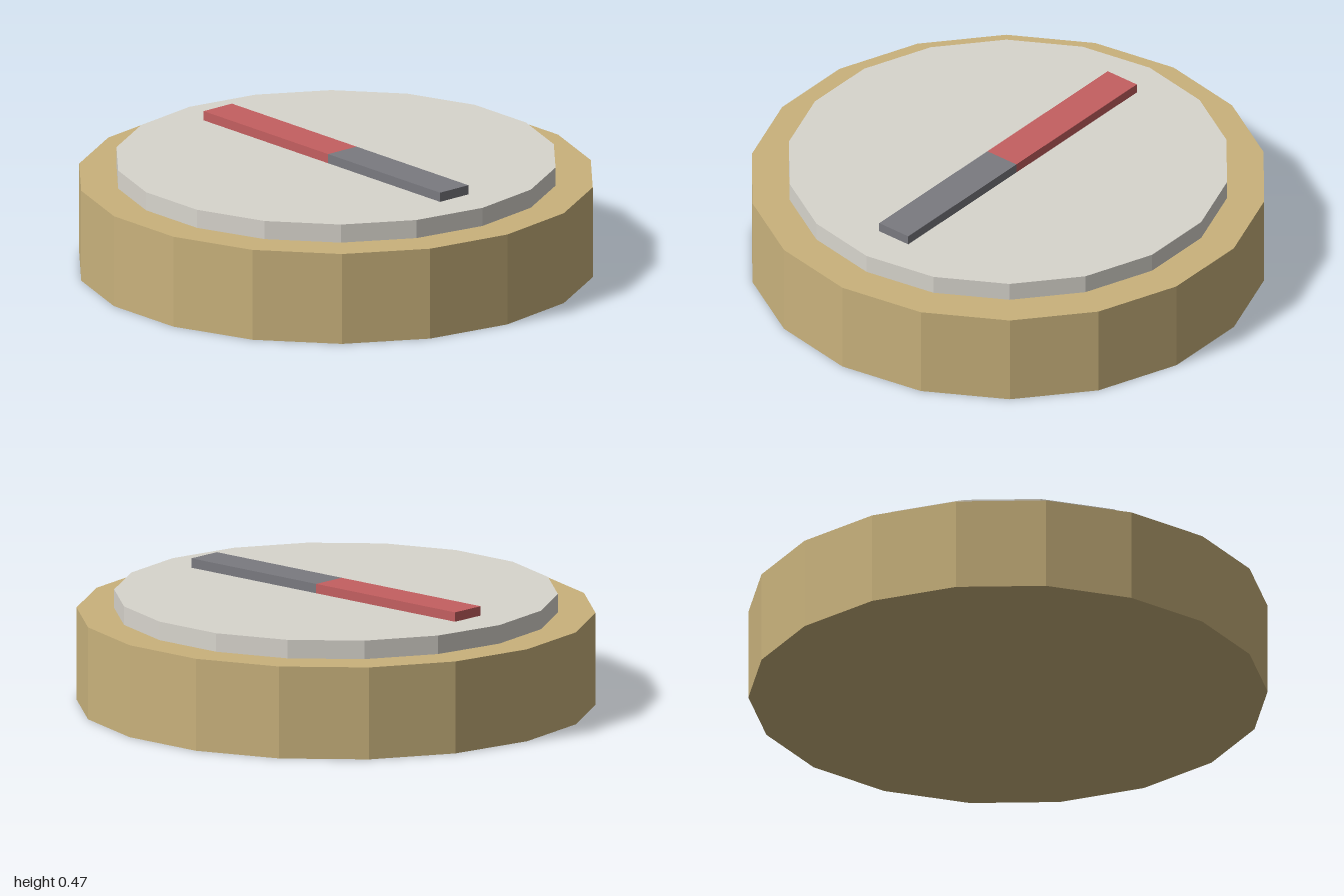
import * as THREE from 'three';

const SIDES = 18;

function addPart(group, name, geometry, color, y, z = 0) {
  const material = new THREE.MeshStandardMaterial({ color, flatShading: true });
  const mesh = new THREE.Mesh(geometry, material);
  mesh.name = name;
  mesh.position.set(0, y, z);
  group.add(mesh);
}

// Flat disc resting on height y
function addDisc(group, name, radius, y, height, color) {
  addPart(group, name, new THREE.CylinderGeometry(radius, radius, height, SIDES), color, y + height / 2);
}

export function createModel() {
  const model = new THREE.Group();
  model.name = 'compass';

  // Brass case and raised pale dial
  const caseHeight = 0.363, dialTop = 0.436;
  addDisc(model, 'case', 1, 0, caseHeight, 0xc9b27c);
  addDisc(model, 'dial', 0.855, caseHeight, dialTop - caseHeight, 0xd8d5cd);

  // Two-coloured needle lying on the dial: red points to the back
  const needle = new THREE.Group();
  needle.name = 'needle';
  const width = 0.145, thickness = 0.037, reach = 0.69, split = 0.037;
  const addHalf = (name, from, to, color) =>
    addPart(needle, name, new THREE.BoxGeometry(width, thickness, to - from), color,
      dialTop + thickness / 2, (from + to) / 2);
  addHalf('northHalf', -reach, split, 0xc45f60);
  addHalf('southHalf', split, reach, 0x7a7a80);
  model.add(needle);

  return model;
}
